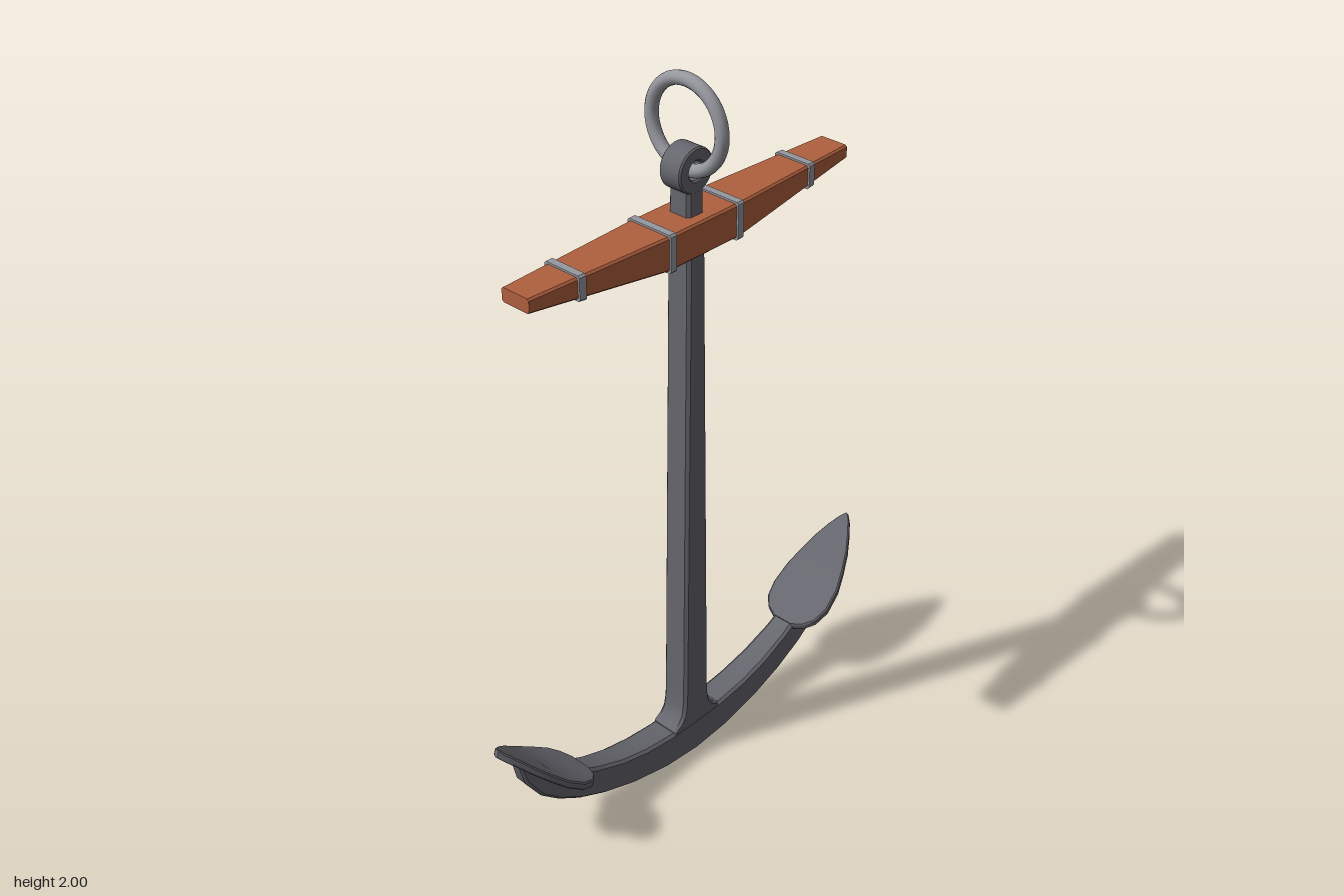
import * as THREE from 'three';
import { toCreasedNormals } from 'three/addons/utils/BufferGeometryUtils.js';

const mat = (name, color) => {
  const m = new THREE.MeshStandardMaterial({ color });
  m.name = name;
  return m;
};

// Chamfered rectangle, counter-clockwise, as [u, v] pairs
const chamfered = (hu, hv, c) => [
  [hu, -hv + c], [hu, hv - c], [hu - c, hv], [-hu + c, hv],
  [-hu, hv - c], [-hu, -hv + c], [-hu + c, -hv], [hu - c, -hv],
];

// Skin a row of equal-length rings and cap both ends
function loft(rings, crease = 0.45) {
  const pos = [];
  const tri = (a, b, c) => pos.push(...a, ...b, ...c);
  const n = rings[0].length;
  for (let s = 0; s < rings.length - 1; s++) {
    const a = rings[s], b = rings[s + 1];
    for (let i = 0; i < n; i++) {
      const j = (i + 1) % n;
      tri(a[i], a[j], b[j]);
      tri(a[i], b[j], b[i]);
    }
  }
  const first = rings[0], last = rings[rings.length - 1];
  for (let i = 1; i < n - 1; i++) {
    tri(first[0], first[i + 1], first[i]);
    tri(last[0], last[i], last[i + 1]);
  }
  const g = new THREE.BufferGeometry();
  g.setAttribute('position', new THREE.Float32BufferAttribute(pos, 3));
  g.computeVertexNormals();
  return toCreasedNormals(g, crease);
}

export function createModel() {
  const root = new THREE.Group();
  root.name = 'anchor';
  const iron = mat('dark iron', 0x66666e);
  const steel = mat('light steel', 0x96989f);
  const wood = mat('reddish wood', 0xb0603e);

  const add = (name, geometry, material, parent = root) => {
    const mesh = new THREE.Mesh(geometry, material);
    mesh.name = name;
    parent.add(mesh);
    return mesh;
  };

  // Shank: tapered bar with a flared foot; rows are [y, half x, half z]
  const shankRows = [
    [0.09, 0.1, 0.041], [0.118, 0.088, 0.041], [0.13, 0.068, 0.041], [0.15, 0.054, 0.041],
    [0.18, 0.048, 0.041], [0.22, 0.046, 0.041], [1.6, 0.029, 0.037], [1.66, 0.028, 0.033], [1.74, 0.027, 0.032],
  ];
  add('shank', loft(shankRows.map(([y, hx, hz]) =>
    chamfered(hz, hx, 0.008).map(([u, v]) => [v, y, u]))), iron);

  // Arms: one crescent; rows are [top x, top y, bottom x, bottom y, half z]
  const half = [
    [0.1, 0.116, 0.12, 0.013, 0.042], [0.19, 0.126, 0.25, 0.043, 0.041],
    [0.28, 0.147, 0.35, 0.078, 0.039], [0.37, 0.182, 0.44, 0.12, 0.036],
    [0.45, 0.225, 0.51, 0.165, 0.033], [0.52, 0.268, 0.565, 0.213, 0.029],
    [0.575, 0.315, 0.61, 0.283, 0.024], [0.61, 0.35, 0.625, 0.345, 0.018],
  ];
  const armRows = [
    ...half.map(([a, b, c, d, e]) => [-a, b, -c, d, e]).reverse(),
    [0, 0.113, 0, 0.003, 0.042],
    ...half,
  ];
  add('arms', loft(armRows.map(([tx, ty, bx, by, hz]) => {
    const len = Math.hypot(tx - bx, ty - by);
    return chamfered(len / 2, hz, Math.min(0.008, len * 0.3)).map(([u, v]) => {
      const k = u / len + 0.5;
      return [bx + (tx - bx) * k, by + (ty - by) * k, v];
    });
  })), iron);

  // Flukes: curved leaf plates; rows are [x, y, half width]
  const flukeRows = [
    [0.408, 0.194, 0.035], [0.422, 0.202, 0.067], [0.445, 0.215, 0.089], [0.485, 0.239, 0.1],
    [0.535, 0.278, 0.095], [0.575, 0.316, 0.08], [0.615, 0.356, 0.061], [0.65, 0.393, 0.037],
    [0.674, 0.417, 0.017], [0.683, 0.427, 0.006],
  ];
  const flukeGeometry = loft(flukeRows.map(([x, y, w]) =>
    chamfered(0.011, w, 0.004).map(([u, v]) => [x - u * 0.3, y + u, v])));
  add('leftFluke', flukeGeometry, iron);
  add('rightFluke', flukeGeometry, iron).rotation.y = Math.PI;

  // Stock: flat on top, thinning towards both ends
  const stockRing = (x, grow) => {
    const t = Math.max(0, (Math.abs(x) - 0.12) / 0.415);
    const bottom = 1.57 + 0.052 * t, top = 1.659;
    const hz = 0.064 - 0.021 * t;
    return chamfered((top - bottom) / 2 + grow, hz + grow, 0.005)
      .map(([u, v]) => [x, (top + bottom) / 2 + u, v]);
  };
  add('stock', loft([-0.535, -0.12, 0.12, 0.535].map((x) => stockRing(x, 0)), 0.02), wood);

  // Bands around the stock
  for (const x of [-0.387, -0.114, 0.114, 0.387]) {
    add('stockBand', loft([stockRing(x - 0.01, 0.005), stockRing(x + 0.01, 0.005)]), steel);
  }

  // Eye: short pierced barrel at the head of the shank
  const eye = new THREE.Shape().absarc(0, 0, 0.053, 0, Math.PI * 2);
  eye.holes.push(new THREE.Path().absarc(0, 0, 0.028, 0, Math.PI * 2, true));
  const eyeGeometry = new THREE.ExtrudeGeometry(eye, {
    depth: 0.058, curveSegments: 16, bevelSize: 0.004, bevelThickness: 0.004, bevelSegments: 1,
  });
  eyeGeometry.translate(0, 1.77, -0.029);
  add('eye', toCreasedNormals(eyeGeometry, 0.5), iron);

  // Ring hanging through the eye
  const ring = add('ring', new THREE.TorusGeometry(0.109, 0.017, 12, 48), steel);
  ring.position.y = 1.874;
  ring.rotation.y = Math.PI / 2;

  return root;
}
